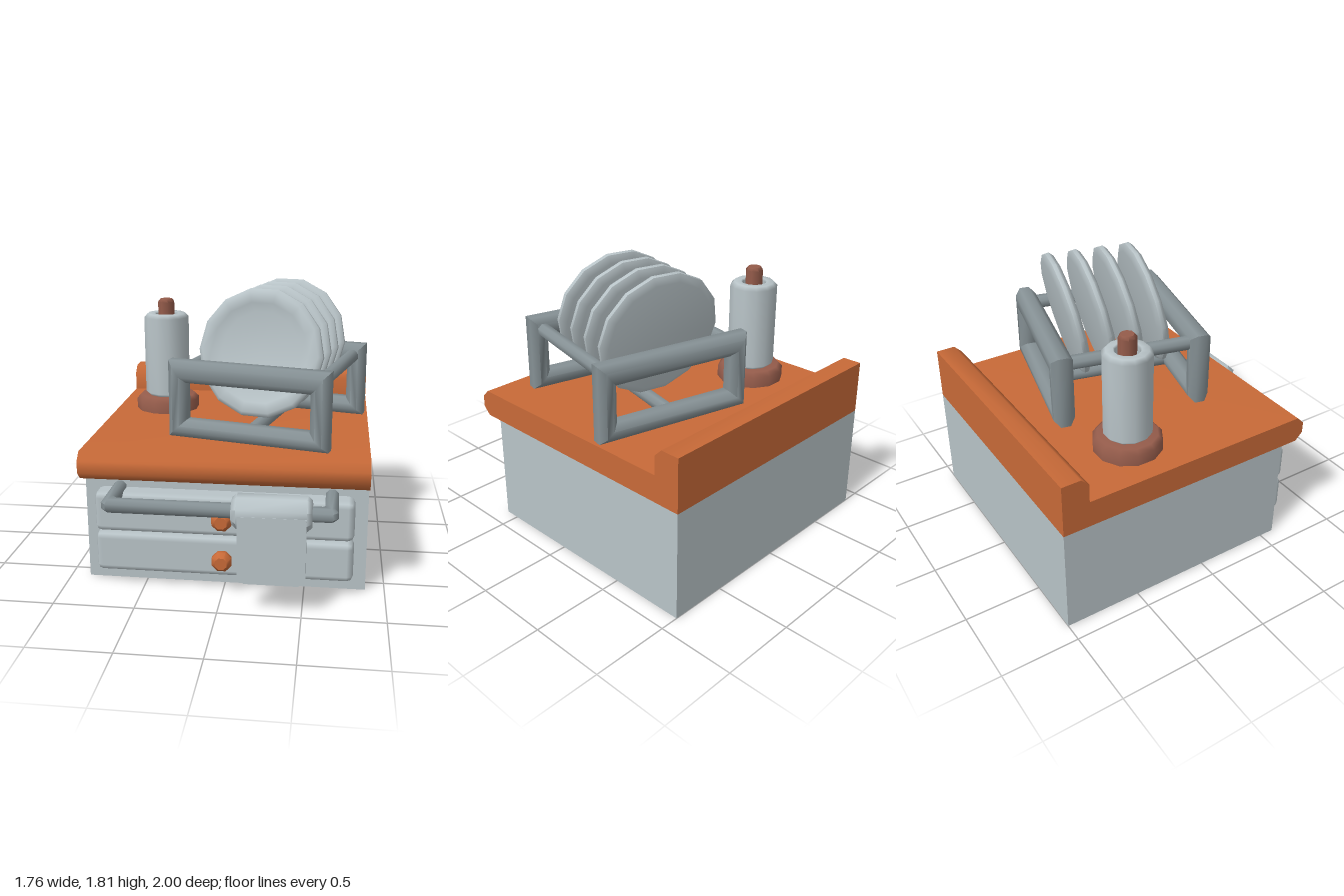
import * as THREE from 'three';
import { RoundedBoxGeometry } from 'three/addons/geometries/RoundedBoxGeometry.js';

const mat = (name, color) => {
  const m = new THREE.MeshStandardMaterial({ color });
  m.name = name;
  return m;
};

// Area-weighted normals: chamfers look soft, broad faces stay flat, sharp edges stay sharp
function soften(source, crease = 0.9) {
  const geo = source.index ? source.toNonIndexed() : source;
  const pos = geo.attributes.position;
  const limit = Math.cos(crease), faces = [], at = new Map();
  const point = (i) => new THREE.Vector3().fromBufferAttribute(pos, i);
  const key = (p) => p.toArray().map((v) => Math.round(v * 1e4)).join();
  for (let i = 0; i < pos.count; i += 3) {
    const [a, b, c] = [point(i), point(i + 1), point(i + 2)];
    const n = b.clone().sub(a).cross(c.clone().sub(a));
    faces.push(n);
    for (const p of [a, b, c]) {
      if (!at.has(key(p))) at.set(key(p), []);
      at.get(key(p)).push(n);
    }
  }
  const normals = new Float32Array(pos.count * 3);
  for (let i = 0; i < pos.count; i++) {
    const own = faces[Math.floor(i / 3)].clone().normalize();
    const sum = new THREE.Vector3();
    for (const n of at.get(key(point(i)))) {
      if (n.clone().normalize().dot(own) > limit) sum.add(n);
    }
    sum.normalize().toArray(normals, i * 3);
  }
  geo.setAttribute('normal', new THREE.BufferAttribute(normals, 3));
  return geo;
}

const shapeOf = (pts) => new THREE.Shape(pts.map(([x, y]) => new THREE.Vector2(x, y)));

// Solid of revolution about y, with one flat side towards each axis
function turned(profile, sides) {
  const geo = new THREE.LatheGeometry(profile.map(([r, y]) => new THREE.Vector2(r, y)), sides);
  return geo.rotateY(Math.PI / sides);
}

// Extrusion centred on its depth, chamfered inside the given outline
function chamfered(shape, depth, bevel) {
  const geo = new THREE.ExtrudeGeometry(shape, {
    depth: depth - 2 * bevel, bevelEnabled: true, bevelSegments: 1,
    bevelSize: bevel, bevelThickness: bevel, bevelOffset: -bevel,
  });
  return geo.translate(0, 0, bevel - depth / 2);
}

export function createModel() {
  const model = new THREE.Group();
  model.name = 'kitchenCounter';
  const pale = mat('pale grey', 0xb9c4c8);
  const metal = mat('metal grey', 0x869195);
  const wood = mat('orange wood', 0xc86a38);
  const brown = mat('brown', 0x955c4b);

  const add = (parent, name, geo, material, x = 0, y = 0, z = 0) => {
    const mesh = new THREE.Mesh(geo, material);
    mesh.name = name;
    mesh.position.set(x, y, z);
    parent.add(mesh);
    return mesh;
  };

  // Cabinet
  add(model, 'cabinet', new THREE.BoxGeometry(1.76, 0.71, 1.6), pale, 0, 0.355, -0.2);

  // Worktop with raised back edge: side profile (z, y) run along x
  const top = new THREE.ExtrudeGeometry(shapeOf([
    [-1, 0.71], [0.72, 0.71], [0.77, 0.76], [0.77, 0.835], [0.72, 0.885],
    [-0.825, 0.885], [-0.825, 1.01], [-0.875, 1.06], [-1, 1.06],
  ]), { depth: 1.76, bevelEnabled: false });
  top.translate(0, 0, -0.88).rotateY(-Math.PI / 2);
  add(model, 'worktop', soften(top), wood);

  // Drawers and knobs
  const knob = soften(turned([[0, 0], [0.04, 0], [0.065, 0.03], [0.065, 0.06], [0.04, 0.09], [0, 0.09]], 8)
    .rotateX(Math.PI / 2));
  for (const y of [0.225, 0.49]) {
    add(model, 'drawer', new RoundedBoxGeometry(1.6, 0.26, 0.22, 1, 0.04), pale, 0, y, 0.61);
    add(model, 'drawerKnob', knob, wood, 0, y, 0.72);
  }

  // Towel rail: U outline in plan (x, z)
  const rail = chamfered(shapeOf([
    [-0.7, 0.57], [-0.62, 0.57], [-0.62, 0.84], [-0.6, 0.86], [0.6, 0.86], [0.62, 0.84],
    [0.62, 0.57], [0.7, 0.57], [0.7, 0.91], [0.67, 0.94], [-0.67, 0.94], [-0.7, 0.91],
  ]), 0.085, 0.024).rotateX(Math.PI / 2);
  add(model, 'towelRail', soften(rail), metal, 0, 0.617, 0);

  // Towel: fold over the rail and hanging cloth
  const fold = turned([[0, -0.235], [0.08, -0.235], [0.106, -0.205], [0.106, 0.205], [0.08, 0.235], [0, 0.235]], 8)
    .rotateZ(Math.PI / 2);
  add(model, 'towelFold', soften(fold), pale, 0.315, 0.617, 0.9);
  const cloth = new THREE.ExtrudeGeometry(shapeOf([
    [-0.2, 0.62], [-0.2, 0.24], [-0.16, 0.2], [0.16, 0.2], [0.2, 0.24], [0.2, 0.62],
  ]), { depth: 0.05, bevelEnabled: false });
  add(model, 'towelCloth', cloth, pale, 0.32, 0, 0.95);

  // Paper roll on its stand
  const roll = new THREE.Group();
  roll.name = 'paperRollStand';
  roll.position.set(-0.535, 0.885, -0.355);
  model.add(roll);
  add(roll, 'standBase', soften(turned([[0, 0], [0.22, 0], [0.22, 0.07], [0.19, 0.1], [0, 0.1]], 12)), brown);
  add(roll, 'standPole', soften(turned([[0, 0.08], [0.057, 0.08], [0.057, 0.755], [0.042, 0.775], [0, 0.775]], 8)), brown);
  add(roll, 'paperRoll', soften(turned([
    [0.135, 0.1], [0.155, 0.12], [0.155, 0.65], [0.13, 0.675], [0.085, 0.675], [0.075, 0.665], [0.075, 0.1],
  ], 12)), pale);

  // Dish rack, turned on the worktop
  const rack = new THREE.Group();
  rack.name = 'dishRack';
  rack.position.set(0.235, 0, -0.01);
  rack.rotation.y = -0.243;
  model.add(rack);
  const frameShape = shapeOf([[-0.525, 0.885], [0.525, 0.885], [0.525, 1.38], [-0.525, 1.38]]);
  frameShape.holes.push(new THREE.Path(
    [[-0.405, 1.0], [-0.405, 1.24], [0.405, 1.24], [0.405, 1.0]].map(([x, y]) => new THREE.Vector2(x, y))));
  const frame = soften(chamfered(frameShape, 0.14, 0.038));
  for (const side of [1, -1]) add(rack, side > 0 ? 'frontFrame' : 'rearFrame', frame, metal, 0, 0, side * 0.455);
  const rod = soften(turned([[0.046, -0.42], [0.046, 0.42]], 8).rotateX(Math.PI / 2));
  for (const [x, y] of [[-0.444, 1.3], [0.444, 1.3], [0, 0.942]]) add(rack, 'rackRod', rod, metal, x, y, 0);

  // Plates leaning back in a row
  const plate = soften(turned([
    [0, -0.035], [0.365, -0.035], [0.412, -0.01], [0.412, 0.015], [0.385, 0.038],
    [0.32, 0.038], [0.265, -0.005], [0, -0.005],
  ], 14).rotateX(Math.PI / 2));
  for (let i = 0; i < 4; i++) {
    add(rack, 'plate', plate, pale, 0, 1.41, -0.035 + (i - 1.5) * 0.178).rotation.x = -0.2;
  }
  return model;
}
